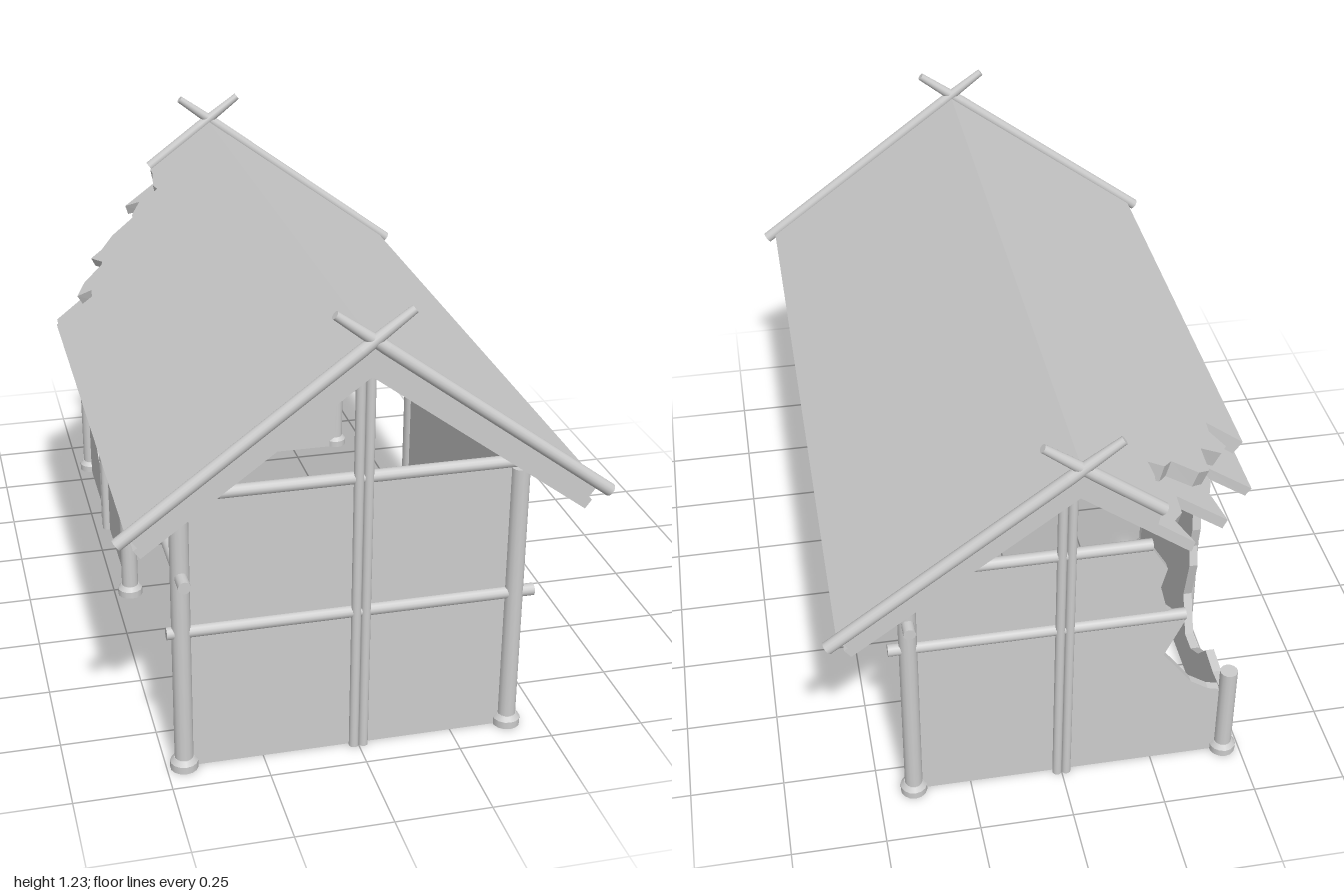
import * as THREE from 'three';

const V = (x, y, z) => new THREE.Vector3(x, y, z);
const toShape = (pts) => new THREE.Shape(pts.map(([a, b]) => new THREE.Vector2(a, b)));

export function createModel() {
  const house = new THREE.Group();
  house.name = 'ruinedHouse';
  const grey = new THREE.MeshStandardMaterial({ color: 0xcccccc });
  grey.name = 'plain grey';

  const add = (name, geometry) => {
    const mesh = new THREE.Mesh(geometry, grey);
    mesh.name = name;
    house.add(mesh);
    return mesh;
  };

  // Round pole between two points
  const pole = (name, a, b, r0, r1 = r0) => {
    const dir = b.clone().sub(a);
    const mesh = add(name, new THREE.CylinderGeometry(r1, r0, dir.length(), 14));
    mesh.position.copy(a).add(b).multiplyScalar(0.5);
    mesh.quaternion.setFromUnitVectors(V(0, 1, 0), dir.normalize());
    return mesh;
  };

  // Upright post with a foot
  const post = (name, x, z, top) => {
    pole(name, V(x, 0, z), V(x, top, z), 0.024);
    pole(name + 'Foot', V(x, 0, z), V(x, 0.02, z), 0.036);
    pole(name + 'FootTaper', V(x, 0.02, z), V(x, 0.032, z), 0.036, 0.026);
  };

  const LEFT = 0.405, RIGHT = -0.455, FRONT = 0.912, MID = 0.027, BACK = -0.833;
  post('frontLeftPost', LEFT, FRONT, 0.75);
  post('frontRightPost', RIGHT, FRONT, 0.72);
  post('middleLeftPost', LEFT, MID, 0.75);
  post('middleRightPost', RIGHT, MID, 0.72);
  post('backLeftPost', LEFT, BACK, 0.75);
  post('brokenBackRightPost', RIGHT, BACK, 0.29);

  // Pairs of thin studs on the walls
  for (const s of [-0.0125, 0.0125]) {
    pole('frontStud', V(s, 0, FRONT + 0.008), V(s, 1.06, FRONT + 0.008), 0.0125);
    pole('backStud', V(s, 0, BACK - 0.008), V(s, 1.06, BACK - 0.008), 0.0125);
    pole('leftStud', V(LEFT + 0.012, 0, 0.462 + s), V(LEFT + 0.012, 0.74, 0.462 + s), 0.014);
    pole('rightStud', V(RIGHT - 0.008, 0, -0.405 + s), V(RIGHT - 0.008, 0.72, -0.405 + s), 0.014);
  }

  // Horizontal beams
  pole('frontTopBeam', V(-0.42, 0.768, FRONT), V(0.425, 0.768, FRONT), 0.016);
  pole('frontMiddleBeam', V(-0.492, 0.396, FRONT), V(0.457, 0.396, FRONT), 0.016);
  pole('backTopBeam', V(-0.22, 0.768, BACK), V(0.425, 0.768, BACK), 0.016);
  pole('backMiddleBeam', V(-0.32, 0.52, BACK), V(0.457, 0.52, BACK), 0.016);
  pole('leftBeam', V(LEFT, 0.617, 0.027), V(LEFT, 0.617, -0.89), 0.016);
  pole('rightBeam', V(RIGHT, 0.557, 0.027), V(RIGHT, 0.557, 0.98), 0.016);

  // Wall panels: outlines given along the wall and upwards
  const T = 0.024;
  const panel = (pts) => new THREE.ExtrudeGeometry(toShape(pts), { depth: T, bevelEnabled: false });
  add('frontWall', panel([[-0.44, 0], [0.4, 0], [0.4, 0.755], [-0.4, 0.755], [-0.44, 0.725]]))
    .position.z = 0.888;
  add('brokenBackWall', panel([
    [RIGHT, 0], [0.4, 0], [0.4, 0.755], [-0.22, 0.755], [-0.265, 0.68], [-0.25, 0.62],
    [-0.27, 0.54], [-0.32, 0.49], [-0.27, 0.38], [-0.35, 0.27], [-0.4, 0.235], [RIGHT, 0.22],
  ])).position.z = BACK;
  add('leftWall', panel([[MID, 0], [0.91, 0], [0.91, 0.74], [MID, 0.74]]).rotateY(-Math.PI / 2))
    .position.x = 0.418;
  add('brokenRightWall', panel([
    [MID, 0], [MID, 0.72], [-0.47, 0.72], [-0.475, 0.62], [-0.49, 0.5], [-0.475, 0.43],
    [-0.49, 0.37], [-0.455, 0.235], [-0.5, 0.12], [-0.56, 0.12], [-0.63, 0.165],
    [-0.69, 0.235], [-0.765, 0.225], [BACK, 0.23], [BACK, 0],
  ]).rotateY(-Math.PI / 2)).position.x = -0.433;

  // Roof layers: plan outlines bent down from the ridge, eaves cut square to the slope
  const RIDGE = 1.145, SLOPE = 0.737;
  const roofLayer = (name, pts, d0, d1) => {
    const g = new THREE.ExtrudeGeometry(toShape(pts), { depth: d1 - d0, bevelEnabled: false });
    const p = g.attributes.position;
    for (let i = 0; i < p.count; i++) {
      const d = d0 + p.getZ(i);
      const x = p.getX(i) * (1 - 0.8 * d);
      p.setXYZ(i, x, RIDGE - SLOPE * Math.abs(x) - d, p.getY(i));
    }
    g.computeVertexNormals();
    add(name, g);
  };
  const E = 0.97, D1 = 0.055, D2 = 0.09;
  roofLayer('leftRoofTop', [[0, -E], [0.59, -E], [0.59, E], [0, E]], 0, D1);
  roofLayer('leftRoofUnderlayer', [[0, -E], [0.6, -E], [0.6, E], [0, E]], D1, D2);
  roofLayer('brokenRightRoofTop', [
    [0, -E], [-0.2, -E], [-0.2, -0.925], [-0.215, -0.83], [-0.21, -0.78], [-0.26, -0.76],
    [-0.29, -0.715], [-0.37, -0.7], [-0.41, -0.66], [-0.415, -0.56], [-0.485, -0.525],
    [-0.515, -0.47], [-0.475, -0.435], [-0.48, -0.39], [-0.59, -0.39], [-0.59, E], [0, E],
  ], 0, D1);
  roofLayer('brokenRightRoofUnderlayer', [
    [0, -E], [-0.3, -E], [-0.26, -0.915], [-0.295, -0.86], [-0.3, -0.79], [-0.45, -0.78],
    [-0.425, -0.69], [-0.45, -0.62], [-0.435, -0.555], [-0.6, -0.54], [-0.6, E], [0, E],
  ], D1, D2);

  // Crossed gable poles
  const gablePole = (name, side, z, startX) => {
    const y = (x) => 0.692 + (0.62 - x) * 0.742;
    pole(name, V(side * startX, y(startX), z), V(side * 0.03, y(0.03), z), 0.0165);
    pole(name + 'Tip', V(side * 0.03, y(0.03), z), V(side * -0.095, y(-0.095), z), 0.0165, 0.011);
  };
  gablePole('frontLeftGablePole', 1, 0.982, 0.615);
  gablePole('frontRightGablePole', -1, 0.984, 0.615);
  gablePole('backLeftGablePole', 1, -0.984, 0.615);
  gablePole('brokenBackRightGablePole', -1, -0.982, 0.2);

  return house;
}
